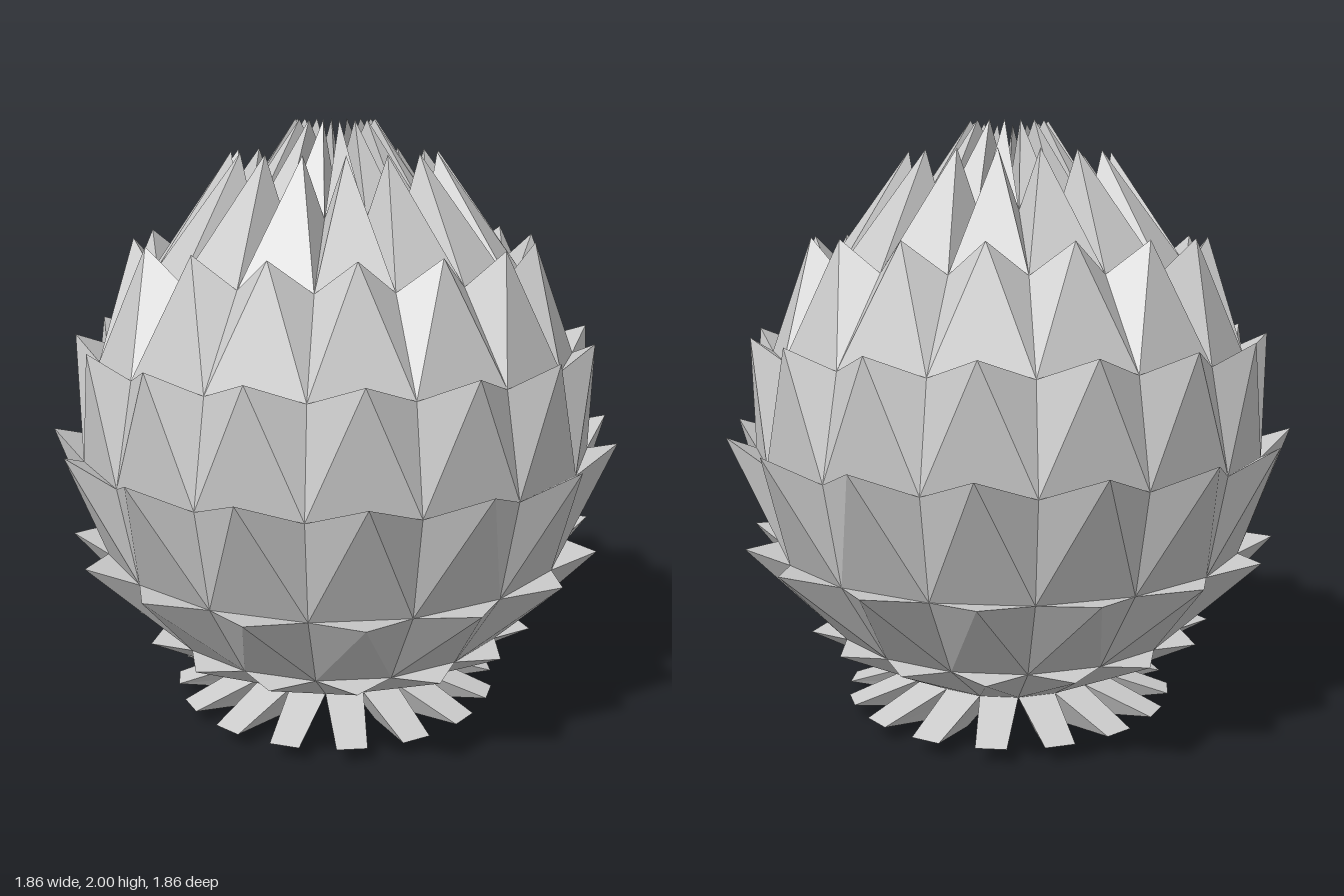
import * as THREE from 'three';

const SIDES = 16, RINGS = 8, RADIUS = 0.855, CENTRE_Y = 0.92;
const STEP = (Math.PI * 2) / SIDES;

// Leaf tips per tier, top to bottom: [radius, height]
const TIPS = [
  [0.13, 2.0], [0.337, 1.9], [0.66, 1.625], [0.862, 1.31],
  [0.95, 0.99], [0.903, 0.615], [0.692, 0.312],
];

// Point at a radius, height and angle (0 faces +z); side shifts it sideways
function polar(r, y, a, side = 0) {
  return [
    r * Math.sin(a) + side * Math.cos(a), y,
    r * Math.cos(a) - side * Math.sin(a),
  ];
}

// Corner on ring k of the round core
function core(k, a) {
  const t = (k * Math.PI) / RINGS;
  return polar(RADIUS * Math.sin(t), CENTRE_Y + RADIUS * Math.cos(t), a);
}

function tierMesh(name, triangles) {
  const geometry = new THREE.BufferGeometry();
  geometry.setAttribute('position', new THREE.Float32BufferAttribute(triangles.flat(2), 3));
  geometry.computeVertexNormals();
  const material = new THREE.MeshStandardMaterial({ color: 0xcccccc, flatShading: true });
  const mesh = new THREE.Mesh(geometry, material);
  mesh.name = name;
  return mesh;
}

// Pointed leaves: each core face is drawn out to one tip
function leafTier(k) {
  const triangles = [];
  for (let j = 0; j < SIDES; j++) {
    const a = j * STEP, b = a + STEP;
    const tip = polar(...TIPS[k], a + STEP / 2);
    const loop = [core(k + 1, a), core(k + 1, b)];
    if (k === 0) loop.push(core(0, 0));
    else loop.push(core(k, b), core(k, a));
    loop.forEach((p, i) => triangles.push([p, loop[(i + 1) % loop.length], tip]));
  }
  return tierMesh(k === 0 ? 'crownLeaves' : 'leafTier' + k, triangles);
}

// Blunt leaves under the base: each core face is drawn out to a smaller triangle
function baseLeaves() {
  const triangles = [];
  for (let j = 0; j < SIDES; j++) {
    const a = j * STEP, mid = a + STEP / 2;
    const inner = [core(RINGS - 1, a), core(RINGS, 0), core(RINGS - 1, a + STEP)];
    const outer = [
      polar(0.56, 0.055, mid, -0.05),
      polar(0.29, 0, mid),
      polar(0.56, 0.055, mid, 0.05),
    ];
    for (let i = 0; i < 3; i++) {
      const n = (i + 1) % 3;
      triangles.push([inner[i], inner[n], outer[n]], [inner[i], outer[n], outer[i]]);
    }
    triangles.push(outer);
  }
  return tierMesh('baseLeaves', triangles);
}

export function createModel() {
  const group = new THREE.Group();
  group.name = 'leafyBud';
  for (let k = 0; k < TIPS.length; k++) group.add(leafTier(k));
  group.add(baseLeaves());
  return group;
}
